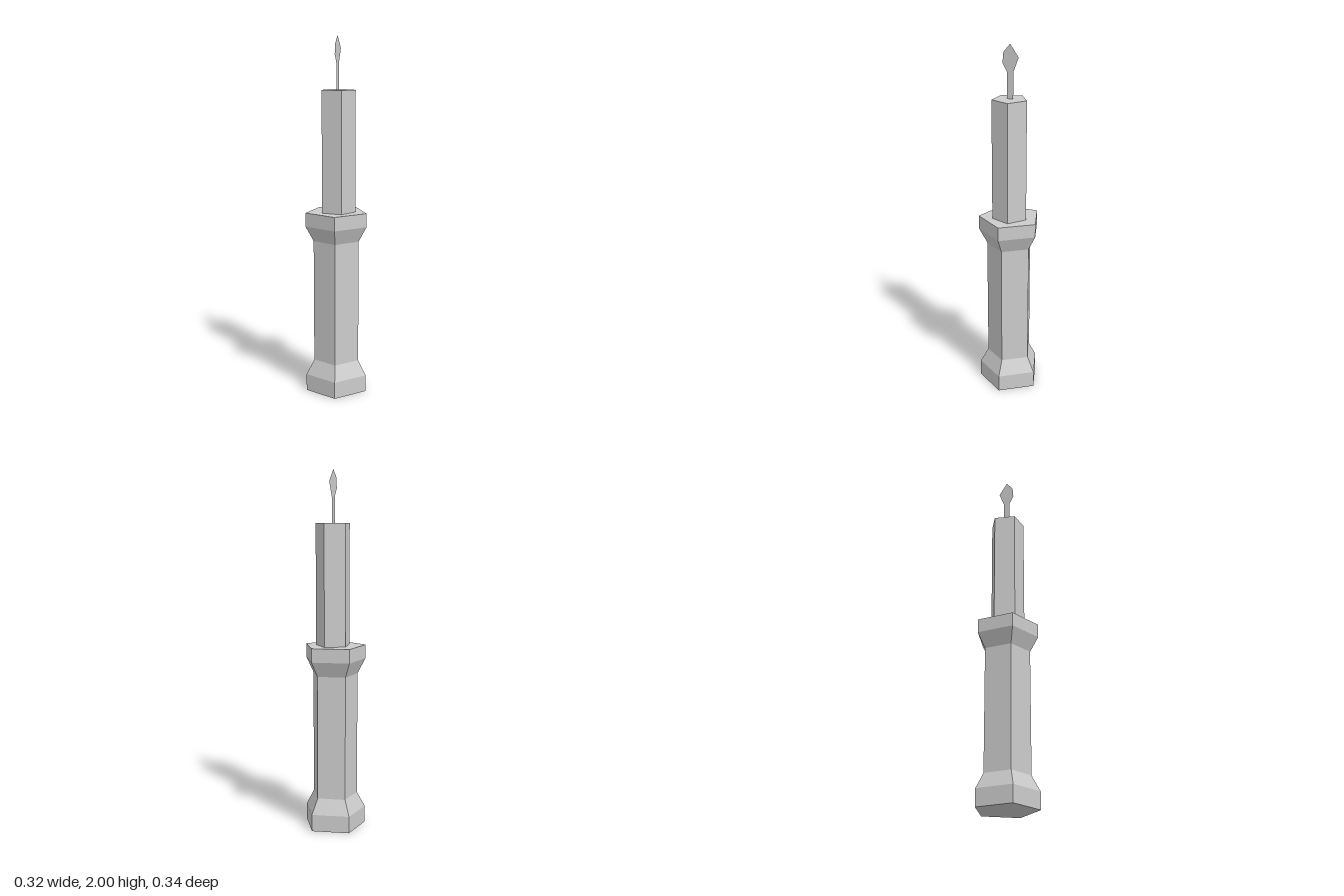
import * as THREE from 'three';

const SIDES = 5;

export function createModel() {
  const model = new THREE.Group();
  const faceted = new THREE.MeshStandardMaterial({ color: 0xcccccc, flatShading: true });
  const thin = new THREE.MeshStandardMaterial({ color: 0xcccccc, flatShading: true, side: THREE.DoubleSide });

  const add = (name, geometry, material, x = 0, y = 0, z = 0) => {
    const mesh = new THREE.Mesh(geometry, material);
    mesh.name = name;
    mesh.position.set(x, y, z);
    model.add(mesh);
  };

  // Five-sided holder: flared foot, shaft and flared rim, closed at both ends
  const profile = [
    [0, 0], [0.178, 0], [0.178, 0.095], [0.132, 0.18],
    [0.132, 0.875], [0.178, 0.96], [0.178, 1.037], [0, 1.037],
  ].map(([r, y]) => new THREE.Vector2(r, y));
  add('holder', new THREE.LatheGeometry(profile, SIDES, Math.PI / 2), faceted, -0.017);

  // Candle, turned slightly against the holder
  const bottom = 1.037, top = 1.71;
  const candle = new THREE.CylinderGeometry(0.099, 0.099, top - bottom, SIDES, 1, false,
    THREE.MathUtils.degToRad(105));
  add('candle', candle, faceted, -0.01, (top + bottom) / 2, 0.001);

  // Flat wick and flame, standing in the y-z plane
  const outline = (points) => new THREE.ShapeGeometry(
    new THREE.Shape(points.map(([z, y]) => new THREE.Vector2(z, y)))).rotateY(-Math.PI / 2);
  add('wick', outline([[-0.018, top], [-0.018, 1.852], [0.018, 1.852], [0.018, top]]), thin, -0.01);
  add('flame', outline([
    [-0.018, 1.852], [-0.048, 1.932], [0, 2], [0.038, 1.955], [0.043, 1.898], [0.018, 1.852],
  ]), thin, -0.01);

  return model;
}
